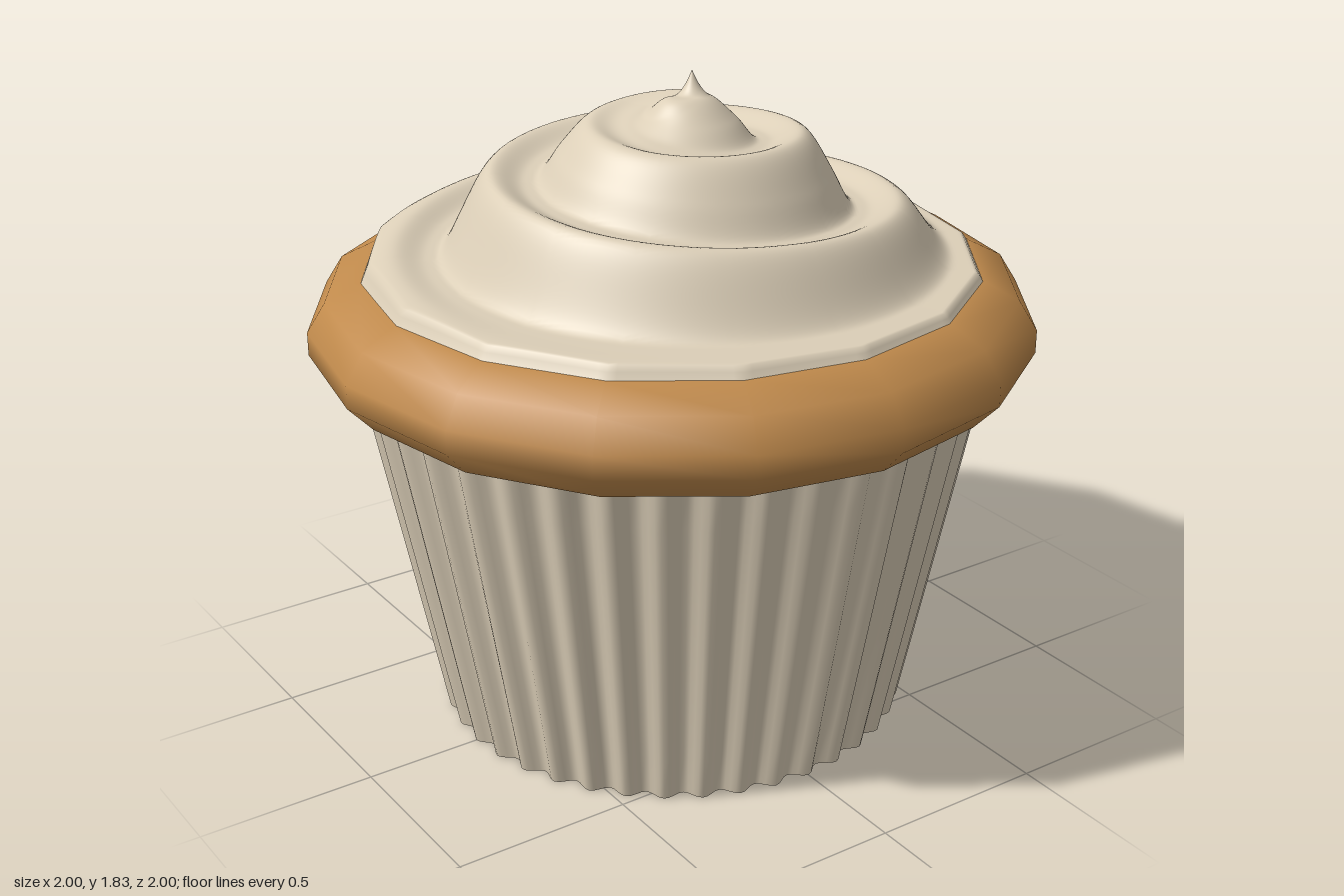
import * as THREE from 'three';

const TAU = Math.PI * 2;
const smooth = THREE.MathUtils.smoothstep;
const mix = THREE.MathUtils.lerp;

// Closed ring-by-ring surface: point(ring 0..1, angle) -> [x, y, z]
function ringSurface(rings, segments, point) {
  const pos = [], index = [];
  for (let j = 0; j <= rings; j++)
    for (let i = 0; i < segments; i++) pos.push(...point(j / rings, (i / segments) * TAU));
  for (let j = 0; j < rings; j++)
    for (let i = 0; i < segments; i++) {
      const n = (i + 1) % segments;
      const a = j * segments + i, b = j * segments + n;
      const c = a + segments, d = b + segments;
      index.push(a, c, b, b, c, d);
    }
  const geo = new THREE.BufferGeometry();
  geo.setAttribute('position', new THREE.Float32BufferAttribute(pos, 3));
  geo.setIndex(index);
  geo.computeVertexNormals();
  return geo;
}

// Height of the swirl's crest at each distance from the axis
const CREST = [[0, 1.765], [0.08, 1.765], [0.13, 1.75], [0.18, 1.725], [0.27, 1.69], [0.35, 1.665],
  [0.44, 1.61], [0.52, 1.56], [0.57, 1.52], [0.63, 1.465], [0.72, 1.40], [0.79, 1.34], [0.86, 1.325], [2, 1.325]];
function crestHeight(r) {
  if (r <= 0) return CREST[0][1];
  const k = CREST.findIndex((p) => p[0] >= r);
  const [r0, y0] = CREST[k - 1], [r1, y1] = CREST[k];
  return mix(y0, y1, (r - r0) / (r1 - r0));
}

// Spiral terrace: a crest, a shallow valley behind it, then a wall up to the next crest
const PITCH = 0.27;
function swirlHeight(x, z) {
  const r = Math.hypot(x, z);
  const turn = (Math.atan2(z, x) + TAU) % TAU / TAU;
  const s = (0.64 - r) / PITCH - turn;
  const f = s - Math.floor(s);
  const outer = crestHeight(r + f * PITCH);
  const inner = crestHeight(r - (1 - f) * PITCH);
  const dip = 0.03 * smooth(f, 0, 0.32) * (1 - smooth(f, 0.42, 0.65)) * smooth(r, 0.08, 0.25) * smooth(outer, 1.325, 1.4);
  const y = mix(outer, inner, smooth(f, 0.42, 1)) - dip;
  return mix(1.765, y, smooth(r, 0, 0.08));
}

export function createModel() {
  const cream = new THREE.MeshStandardMaterial({ color: 0xdccfb8 });
  cream.name = 'cream';
  const cakeBrown = new THREE.MeshStandardMaterial({ color: 0xc08a4c });
  cakeBrown.name = 'cakeBrown';

  const group = new THREE.Group();
  group.name = 'cupcake';
  const add = (name, geo, mat) => {
    const mesh = new THREE.Mesh(geo, mat);
    mesh.name = name;
    group.add(mesh);
  };

  // Pleated paper cup, flaring upward
  const pleats = 40;
  const cupRadius = (t, a) => mix(0.652, 0.855, t) + 0.015 * Math.cos(pleats * a);
  add('paperCup', ringSurface(8, pleats * 8, (t, a) => {
    const r = cupRadius(t, a);
    return [r * Math.cos(a), t * 1.02, r * Math.sin(a)];
  }), cream);
  add('cupBase', ringSurface(1, pleats * 8, (t, a) => {
    const r = t * cupRadius(0, a);
    return [r * Math.cos(a), 0, r * Math.sin(a)];
  }), cream);

  // Cake rim bulging over the cup
  const rim = [[0.7, 1.0], [0.86, 1.0], [0.93, 1.03], [1.0, 1.105], [1.0, 1.17], [0.95, 1.25], [0.855, 1.3], [0.76, 1.3]];
  add('cakeTop', new THREE.LatheGeometry(rim.map((p) => new THREE.Vector2(...p)), 16), cakeBrown);

  // Swirled frosting, its rings gathered toward an off-centre tip
  const sides = 16, step = TAU / sides, tipX = 0.065;
  add('frosting', ringSurface(110, 224, (t, a) => {
    const rho = Math.pow(1 - t, 1.15);
    const edge = 0.858 * Math.cos(step / 2) / Math.cos((a % step) - step / 2);
    const x = tipX * (1 - rho) + edge * rho * Math.cos(a);
    const z = edge * rho * Math.sin(a);
    const peak = 0.07 * Math.pow(Math.max(0, 1 - Math.hypot(x - tipX, z) / 0.05), 1.8);
    const y = mix(swirlHeight(x, z), 1.29, smooth(rho, 0.965, 1));
    return [x, y + peak, z];
  }), cream);

  return group;
}
